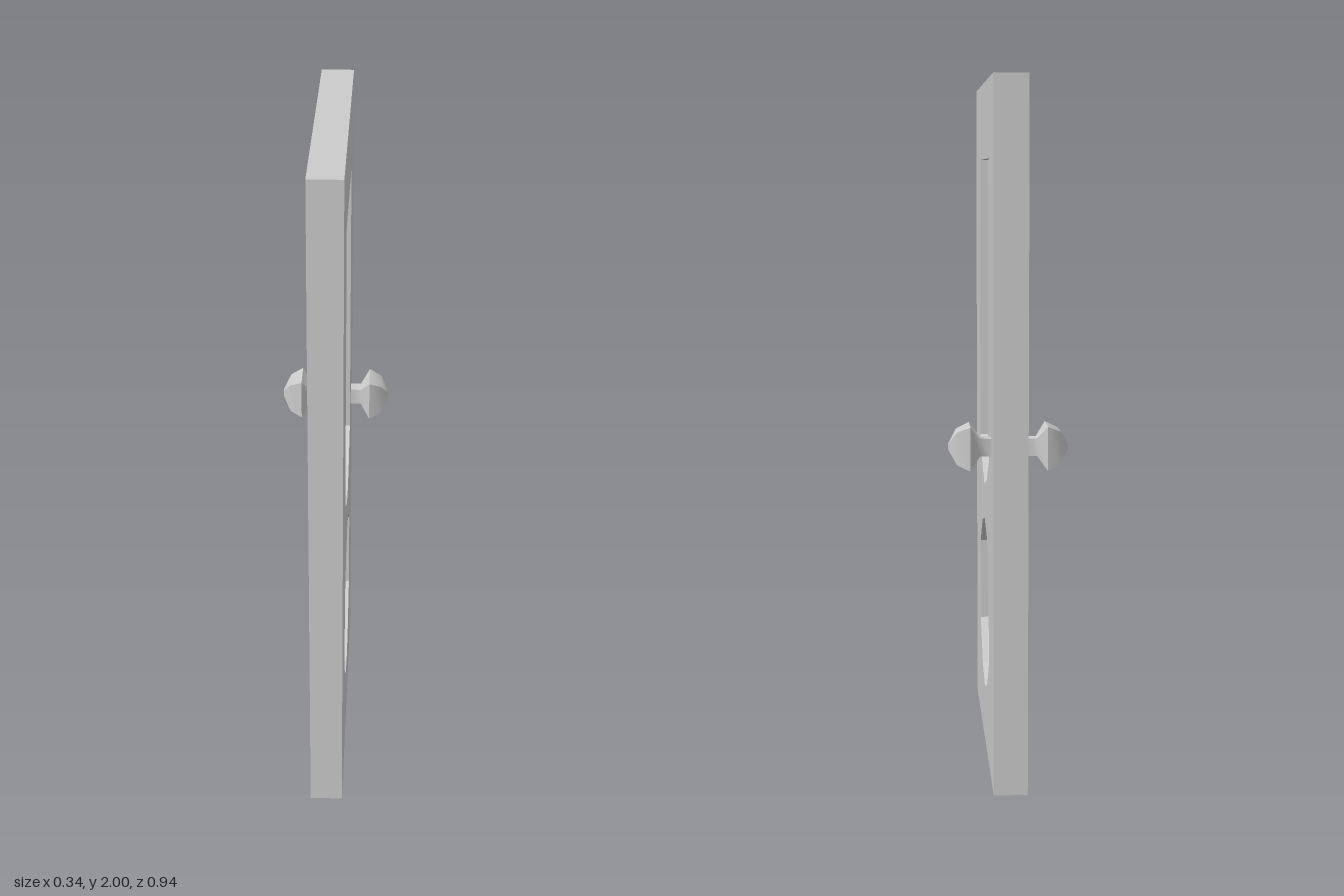
import * as THREE from 'three';

const HALF = 0.048;    // half the door thickness
const RECESS = 0.024;  // depth of the sunken panels
const mat = new THREE.MeshStandardMaterial({ color: 0xcccccc });

const points = (list) => list.map(([x, y]) => new THREE.Vector2(x, y));

// Outlines across the width of the door and up its height
const upperPanel = points([
  [-0.24, 1.78], [-0.24, 0.92], [-0.12, 0.84], [0, 0.805], [0.12, 0.84], [0.24, 0.92], [0.24, 1.78],
]);
const lowerPanel = points([
  [0, 0.7], [-0.12, 0.67], [-0.24, 0.575], [-0.24, 0.32], [-0.12, 0.205],
  [0, 0.17], [0.12, 0.205], [0.24, 0.32], [0.24, 0.575], [0.12, 0.67],
]);

function addMesh(parent, name, geometry) {
  const mesh = new THREE.Mesh(geometry, mat);
  mesh.name = name;
  parent.add(mesh);
  return mesh;
}

// Square-section knob along +z: each side is smooth along a profile and sharp at its corners.
// Profile entries are [distance along the axis, half width, half height].
function knobGeometry(profiles) {
  const pos = [], index = [];
  const corners = [[1, -1], [1, 1], [-1, 1], [-1, -1]];
  for (const profile of profiles) {
    for (let s = 0; s < 4; s++) {
      const a = corners[s], b = corners[(s + 1) % 4];
      profile.forEach(([z, w, h], i) => {
        const n = pos.length / 3;
        pos.push(a[0] * w, a[1] * h, z, b[0] * w, b[1] * h, z);
        if (i > 0) index.push(n - 2, n - 1, n + 1, n - 2, n + 1, n);
      });
    }
  }
  // Small flat tip
  const [z, w, h] = profiles.at(-1).at(-1);
  const n = pos.length / 3;
  for (const [x, y] of corners) pos.push(x * w, y * h, z);
  index.push(n, n + 1, n + 2, n, n + 2, n + 3);

  const geo = new THREE.BufferGeometry();
  geo.setAttribute('position', new THREE.Float32BufferAttribute(pos, 3));
  geo.setIndex(index);
  geo.computeVertexNormals();
  return geo;
}

export function createModel() {
  const door = new THREE.Group();
  door.name = 'door';

  // Door slab, cut through where the panels sit
  const outline = new THREE.Shape(points([[-0.47, 0], [0.47, 0], [0.47, 2], [-0.47, 2]]));
  outline.holes.push(new THREE.Path(upperPanel), new THREE.Path(lowerPanel));
  const slab = new THREE.ExtrudeGeometry(outline, { depth: 2 * HALF, bevelEnabled: false });
  slab.translate(0, 0, -HALF).rotateY(Math.PI / 2);
  addMesh(door, 'doorSlab', slab);

  const knob = knobGeometry([
    [[0, 0.0215, 0.025], [0.032, 0.0215, 0.025], [0.06, 0.054, 0.062]], // stem and flared back
    [[0.06, 0.054, 0.062], [0.097, 0.04, 0.046], [0.12, 0.007, 0.008]], // domed front
  ]);

  // Sunken panels and a knob on each face
  for (const side of [1, -1]) {
    const label = side > 0 ? 'left' : 'right';
    const turn = side * Math.PI / 2;
    for (const [name, pts] of [['UpperPanel', upperPanel], ['LowerPanel', lowerPanel]]) {
      const face = new THREE.ShapeGeometry(new THREE.Shape(pts));
      face.translate(0, 0, HALF - RECESS).rotateY(turn);
      addMesh(door, label + name, face);
    }
    const mesh = addMesh(door, label + 'Knob', knob);
    mesh.position.set(side * HALF, 0.98, -0.344);
    mesh.rotation.y = turn;
  }
  return door;
}
